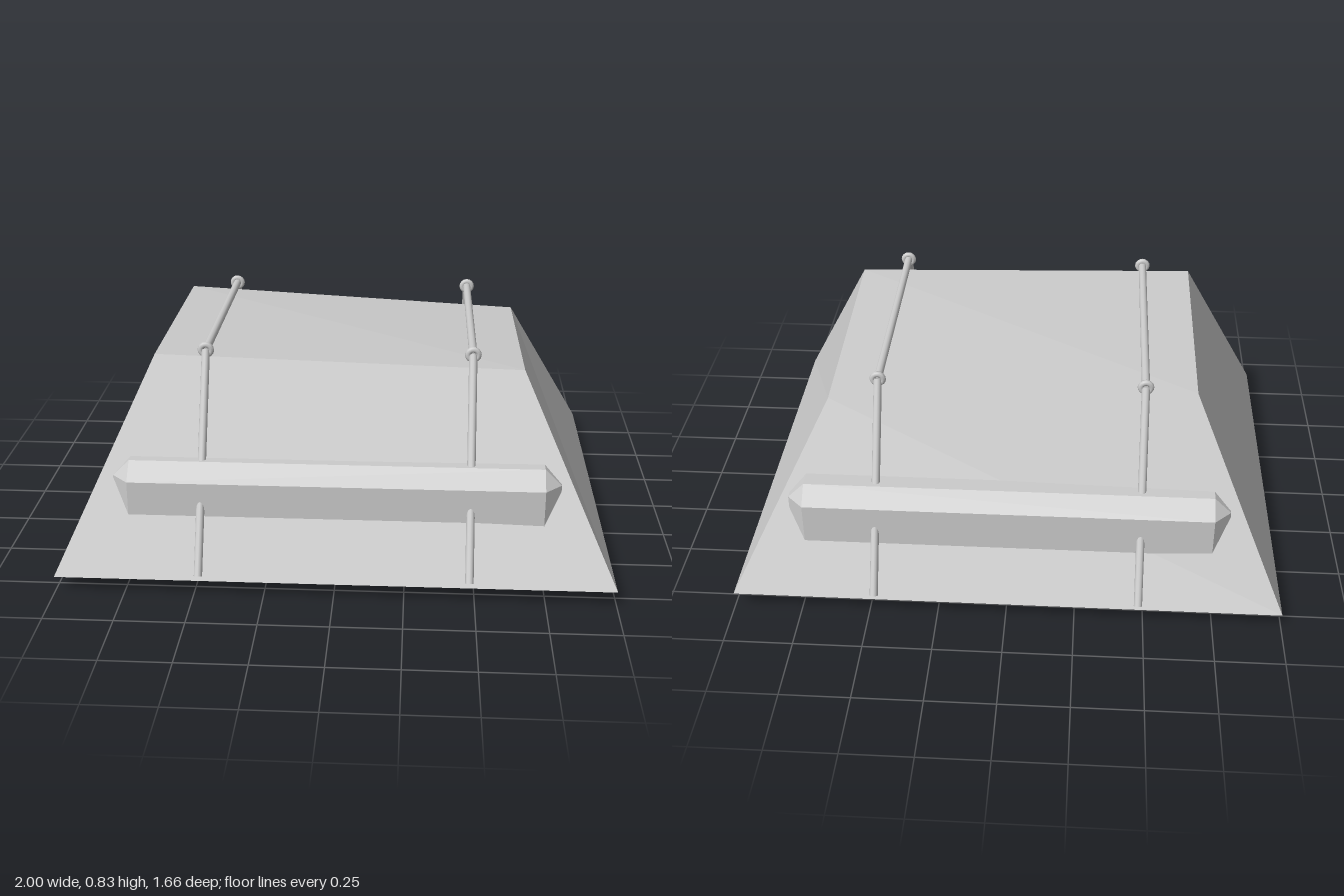
import * as THREE from 'three';
import { ConvexGeometry } from 'three/addons/geometries/ConvexGeometry.js';

const grey = (opts = {}) => new THREE.MeshStandardMaterial({ color: 0xcccccc, ...opts });
const flat = grey({ flatShading: true });
const shell = grey({ flatShading: true, side: THREE.DoubleSide });
const smooth = grey();

function addMesh(parent, name, geometry, material) {
  const mesh = new THREE.Mesh(geometry, material);
  mesh.name = name;
  parent.add(mesh);
  return mesh;
}

// Sloping cover, open below; its four top corners have different heights
function coverGeometry() {
  const signs = [[-1, 1], [1, 1], [1, -1], [-1, -1]];
  const topY = [0.78, 0.745, 0.69, 0.76];
  const corners = [
    ...signs.map(([x, z]) => [x, 0.06, z * 0.815]),
    ...signs.map(([x, z], i) => [x * 0.667, topY[i], z * 0.445]),
  ];
  const faces = [4, 5, 7, 5, 6, 7];
  for (let i = 0; i < 4; i++) {
    const j = (i + 1) % 4;
    if (i % 2 === 0) faces.push(i, j, i + 4, j, j + 4, i + 4);
    else faces.push(i, j, j + 4, i, j + 4, i + 4);
  }
  const geometry = new THREE.BufferGeometry();
  geometry.setAttribute('position', new THREE.Float32BufferAttribute(faces.flatMap((i) => corners[i]), 3));
  geometry.computeVertexNormals();
  return geometry;
}

// Box with every edge and corner chamfered
function chamferedBox(width, height, depth, c) {
  const half = [width / 2, height / 2, depth / 2];
  const points = [];
  for (const sx of [-1, 1]) for (const sy of [-1, 1]) for (const sz of [-1, 1]) {
    for (let axis = 0; axis < 3; axis++) {
      const p = half.map((h, k) => (k === axis ? h : h - c));
      points.push(new THREE.Vector3(p[0] * sx, p[1] * sy, p[2] * sz));
    }
  }
  return new ConvexGeometry(points);
}

// Straight round bar between two points
function addRod(parent, name, a, b, radius) {
  const dir = b.clone().sub(a);
  const rod = addMesh(parent, name, new THREE.CylinderGeometry(radius, radius, dir.length(), 12), smooth);
  rod.position.copy(a).add(b).multiplyScalar(0.5);
  rod.quaternion.setFromUnitVectors(new THREE.Vector3(0, 1, 0), dir.normalize());
}

export function createModel() {
  const model = new THREE.Group();
  model.name = 'coveredCrate';

  addMesh(model, 'cover', coverGeometry(), shell);

  // Crate, whose upper front and back edges poke through the cover
  const crate = addMesh(model, 'crate', chamferedBox(1.6, 0.45, 1.42, 0.06), flat);
  crate.position.y = 0.225;

  // Two tie bars bent over the cover, with a ring at each bend
  for (const x of [-0.48, 0.48]) {
    const bar = new THREE.Group();
    bar.name = x > 0 ? 'leftTieBar' : 'rightTieBar';
    bar.position.x = x;
    const path = [[0.08, 0.817], [0.8, 0.445], [0.78, -0.445], [0.08, -0.817]]
      .map(([y, z]) => new THREE.Vector3(0, y, z));
    ['frontRod', 'topRod', 'backRod'].forEach((name, i) => addRod(bar, name, path[i], path[i + 1], 0.015));
    for (const bend of [path[1], path[2]]) {
      const ring = addMesh(bar, 'bendRing', new THREE.TorusGeometry(0.019, 0.011, 8, 16), smooth);
      ring.position.copy(bend);
    }
    model.add(bar);
  }
  return model;
}
